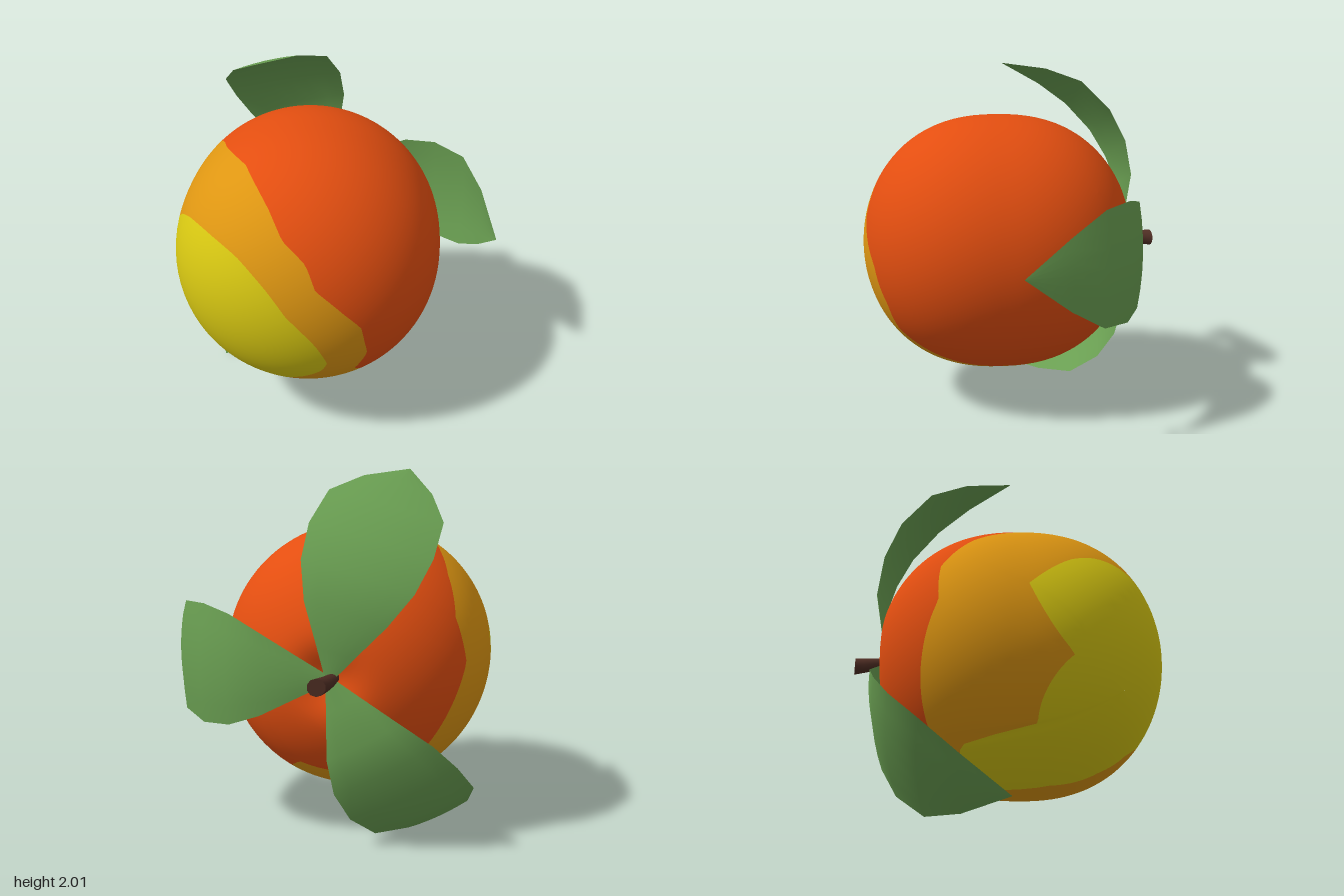
import * as THREE from 'three';

const mat = (name, color, side = THREE.FrontSide) => {
  const m = new THREE.MeshStandardMaterial({ color, side });
  m.name = name;
  return m;
};

const CENTRE = new THREE.Vector3(-0.165, 0.96, 0.07);
const R = 0.755;

// Outlines of the ripening patches, as directions from the fruit's centre
const YELLOW_EDGE = [
  [-.585, .35, .31], [-.435, .36, .50], [-.285, .31, .62], [-.135, .18, .72], [-.035, .04, .755],
  [.115, -.16, .73], [.165, -.31, .66], [.135, -.39, .63], [.065, -.45, .60], [-.035, -.51, .55],
  [-.085, -.56, .50], [-.105, -.66, .35], [-.12, -.74, .10], [-.045, -.72, -.21], [-.376, -.61, -.24],
  [-.52, -.55, .05], [-.68, -.25, .20], [-.746, .11, .02], [-.66, .30, .20],
];
const AMBER_EDGE = [
  [-.285, .65, .26], [-.135, .54, .51], [-.055, .42, .62], [.065, .32, .68], [.115, .19, .72],
  [.265, .04, .71], [.345, -.06, .67], [.365, -.18, .64], [.375, -.28, .59], [.345, -.36, .57],
  [.305, -.44, .53], [.305, -.69, 0], [.285, -.58, -.40], [.206, -.51, -.513], [-.25, -.533, -.47],
  [-.361, -.533, -.394], [-.582, -.215, -.43], [-.667, .057, -.35], [-.602, .292, -.348],
  [-.536, .493, -.197], [-.435, .61, .03],
];

// Polar frame around the middle of the yellow patch
const P = new THREE.Vector3(-.38, -.28, .35).normalize();
const A = new THREE.Vector3(0, 1, 0).cross(P).normalize();
const B = P.clone().cross(A);

// Returns the polar angle of a closed outline for any azimuth
function edgeFunction(points) {
  const polar = points.map((p) => {
    const n = new THREE.Vector3(...p).normalize();
    return [Math.atan2(n.dot(B), n.dot(A)), Math.acos(n.dot(P))];
  }).sort((a, b) => a[0] - b[0]);
  const first = polar[0], last = polar[polar.length - 1];
  const loop = [[last[0] - 2 * Math.PI, last[1]], ...polar, [first[0] + 2 * Math.PI, first[1]]];
  return (phi) => {
    const i = loop.findIndex((p) => p[0] >= phi);
    const [p0, t0] = loop[Math.max(i - 1, 0)], [p1, t1] = loop[i];
    return p1 > p0 ? t0 + (t1 - t0) * (phi - p0) / (p1 - p0) : t1;
  };
}

// Fruit surface: a slightly long ball along z with a dimple at the stem
function fruitPoint(n) {
  const rho2 = n.x * n.x + n.y * n.y;
  let z = 0.8 * Math.sign(n.z) * Math.pow(Math.abs(n.z), 0.85);
  if (n.z < 0) z += 0.1 * Math.exp(-rho2 / 0.04);
  return [CENTRE.x + R * n.x, CENTRE.y + R * n.y, CENTRE.z + z];
}

function makeFruit(materials) {
  const COLS = 128, BANDS = [12, 10, 48];
  const yellow = edgeFunction(YELLOW_EDGE), amber = edgeFunction(AMBER_EDGE);
  const rings = [[0, 0]];
  BANDS.forEach((count, b) => {
    for (let k = 1; k <= count; k++) rings.push([b, k / count]);
  });
  const pos = [], index = [];
  rings.forEach(([band, t]) => {
    for (let j = 0; j < COLS; j++) {
      const phi = -Math.PI + (j / COLS) * 2 * Math.PI;
      const stops = [0.001, yellow(phi), amber(phi), Math.PI - 0.001];
      const theta = THREE.MathUtils.lerp(stops[band], stops[band + 1], t);
      const n = P.clone().multiplyScalar(Math.cos(theta))
        .addScaledVector(A, Math.cos(phi) * Math.sin(theta))
        .addScaledVector(B, Math.sin(phi) * Math.sin(theta));
      pos.push(...fruitPoint(n));
    }
  });
  for (let i = 0; i < rings.length - 1; i++) {
    for (let j = 0; j < COLS; j++) {
      const a = i * COLS + j, b = i * COLS + (j + 1) % COLS;
      index.push(a, a + COLS, b + COLS, a, b + COLS, b);
    }
  }
  const geo = new THREE.BufferGeometry();
  geo.setAttribute('position', new THREE.Float32BufferAttribute(pos, 3));
  geo.setIndex(index);
  let start = 0;
  BANDS.forEach((count, b) => {
    geo.addGroup(start, count * COLS * 6, b);
    start += count * COLS * 6;
  });
  geo.computeVertexNormals();
  return new THREE.Mesh(geo, materials);
}

// Leaf stations: distance from the stem, z, half width
const LEAF = [
  [0, -.68, .02], [.15, -.70, .10], [.37, -.73, .22], [.56, -.69, .30],
  [.74, -.60, .33], [.91, -.44, .31], [1.01, -.24, .19], [1.085, .02, .002],
];

function makeLeaf(material) {
  const ACROSS = 6, pos = [], index = [];
  LEAF.forEach(([s, z, w]) => {
    for (let j = 0; j <= ACROSS; j++) {
      const v = (j / ACROSS) * 2 - 1;
      const cup = 0.08 * w * v * v;
      pos.push(s - cup * 0.5, v * w, z + cup);
    }
  });
  for (let i = 0; i < LEAF.length - 1; i++) {
    for (let j = 0; j < ACROSS; j++) {
      const a = i * (ACROSS + 1) + j, b = a + ACROSS + 1;
      index.push(a, a + 1, b + 1, a, b + 1, b);
    }
  }
  const geo = new THREE.BufferGeometry();
  geo.setAttribute('position', new THREE.Float32BufferAttribute(pos, 3));
  geo.setIndex(index);
  geo.computeVertexNormals();
  return new THREE.Mesh(geo, material);
}

// Stem: flared and bent sideways toward its cut end
function makeStem(material) {
  const geo = new THREE.CylinderGeometry(0.047, 0.026, 0.24, 10, 5);
  const p = geo.attributes.position;
  for (let i = 0; i < p.count; i++) {
    const t = p.getY(i) / 0.24 + 0.5;
    p.setY(i, p.getY(i) + 0.2 * t * p.getX(i));
    p.setX(i, p.getX(i) + 0.035 * t * t);
  }
  geo.rotateX(-Math.PI / 2);
  geo.computeVertexNormals();
  const stem = new THREE.Mesh(geo, material);
  stem.position.set(-0.19, 0.963, -0.74);
  return stem;
}

export function createModel() {
  const model = new THREE.Group();
  const green = mat('leafGreen', 0x6a9f52, THREE.DoubleSide);

  const fruit = makeFruit([
    mat('ripeYellow', 0xd8c812), mat('amber', 0xde9612), mat('orange', 0xe34e10),
  ]);
  fruit.name = 'fruit';
  model.add(fruit);

  // Three leaves spread around the stem
  [['leftLeaf', 1.5], ['topLeaf', 105], ['lowerRightLeaf', 239]].forEach(([name, degrees]) => {
    const leaf = makeLeaf(green);
    leaf.name = name;
    leaf.position.set(-0.17, 0.96, 0);
    leaf.rotation.z = THREE.MathUtils.degToRad(degrees);
    model.add(leaf);
  });

  const stem = makeStem(mat('stemBrown', 0x4f2e24));
  stem.name = 'stem';
  model.add(stem);
  return model;
}
